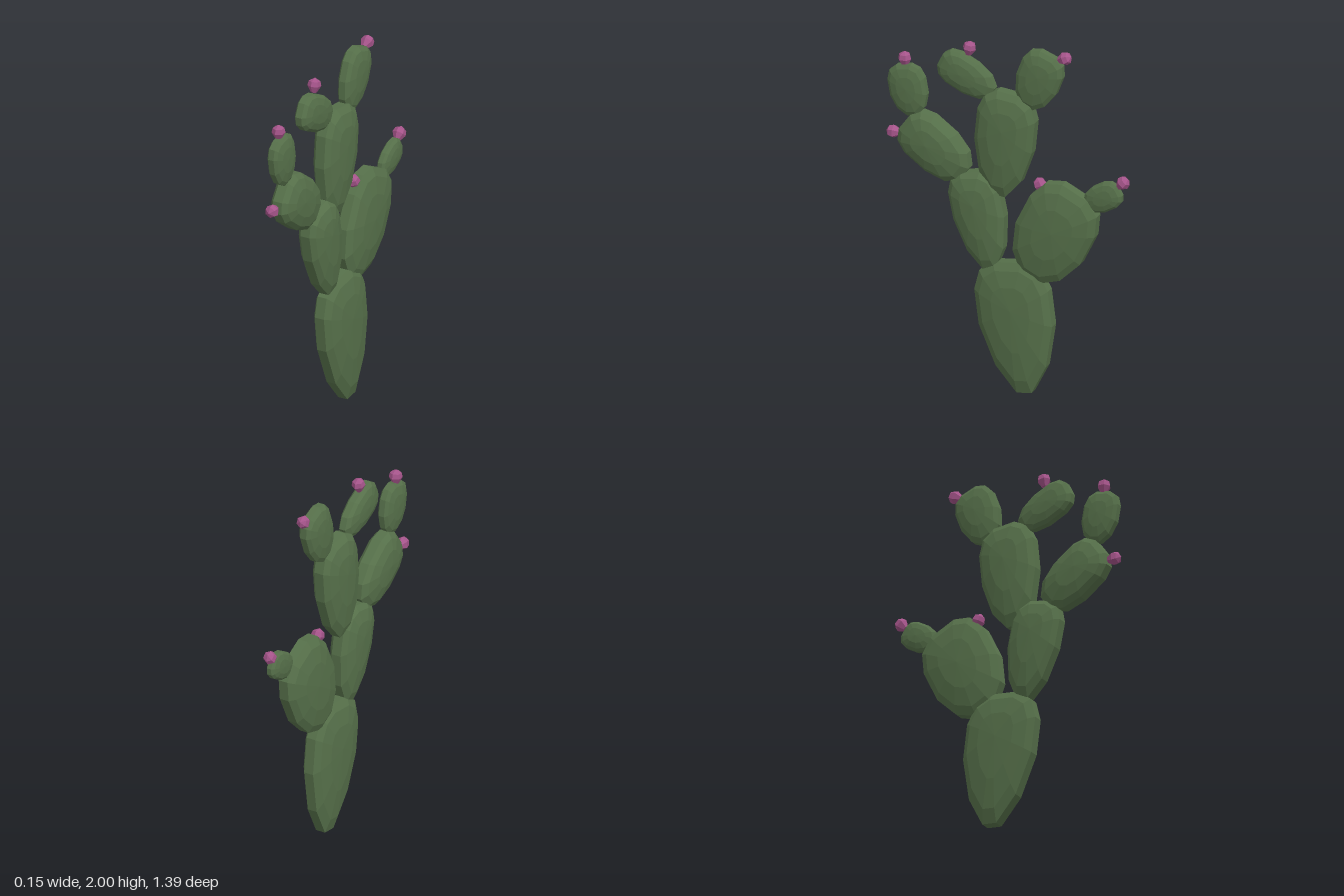
import * as THREE from 'three';

// Each pad: foot z, y; tip z, y; half width; widest point along its length; foot fullness; half thickness.
const PADS = {
  basePad: [-0.1, 0.006, -0.005, 0.742, 0.212, 0.65, 1.65, 0.077],
  middlePad: [0.1, 0.685, 0.212, 1.225, 0.148, 0.68, 1.8, 0.077],
  frontPad: [0.245, 1.205, 0.585, 1.45, 0.142, 0.6, 2.4, 0.075],
  frontTopPad: [0.545, 1.49, 0.597, 1.772, 0.106, 0.55, 2, 0.045],
  upperPad: [0.05, 1.12, -0.01, 1.717, 0.165, 0.65, 1.9, 0.077],
  upperFrontPad: [0.085, 1.7, 0.385, 1.843, 0.1, 0.6, 2.2, 0.05],
  upperBackPad: [-0.11, 1.652, -0.232, 1.975, 0.12, 0.6, 2, 0.052],
  backPad: [-0.13, 0.675, -0.39, 1.21, 0.205, 0.55, 2, 0.076],
  backSmallPad: [-0.445, 1.145, -0.638, 1.258, 0.076, 0.55, 2.2, 0.035],
};

// Each fruit: foot z, y; tip z, y.
const FRUITS = [
  [0.595, 1.765, 0.598, 1.846], [0.622, 1.37, 0.7, 1.37], [0.232, 1.89, 0.22, 1.97],
  [-0.285, 1.945, -0.365, 1.982], [-0.195, 1.175, -0.16, 1.25], [-0.625, 1.272, -0.69, 1.34],
];

const SIDES = 12;
const TOP_FULLNESS = 2.8;

// Egg outline: a superellipse with a full top half and a tapering foot half.
// Returns [across, along] pairs, with across in -1..1 and along in 0..1.
function eggOutline(belly, footFullness) {
  const limit = Math.cos(Math.PI / SIDES);
  return Array.from({ length: SIDES }, (_, i) => {
    const angle = (i + 0.5) * 2 * Math.PI / SIDES;
    const c = Math.cos(angle), s = Math.sin(angle);
    const power = 2 / (s > 0 ? TOP_FULLNESS : footFullness);
    const across = Math.sign(c) * (Math.abs(c) / limit) ** power;
    const rise = (Math.abs(s) / limit) ** power;
    return [across, s > 0 ? belly + (1 - belly) * rise : belly * (1 - rise)];
  });
}

// Lens-shaped pad: the outline shrinks toward its middle as the surface bulges out to both sides.
function padGeometry([z0, y0, z1, y1, width, belly, footFullness, half]) {
  const dz = z1 - z0, dy = y1 - y0, length = Math.hypot(dz, dy);
  const outline = eggOutline(belly, footFullness);
  const side = [[0.5, 0.92], [0.84, 0.68], [1, 0.36]];
  const rings = [...side, ...side.slice().reverse().map(([s, x]) => [s, -x])];
  const pos = [];
  const addPoint = (x, across, along) => {
    const v = across * width / length;
    pos.push(x * half, y0 + dy * along - dz * v, z0 + dz * along + dy * v);
  };
  for (const [s, x] of rings)
    for (const [across, along] of outline) addPoint(x, across * s, belly + (along - belly) * s);
  addPoint(1, 0, belly);
  addPoint(-1, 0, belly);

  const a = rings.length * SIDES, b = a + 1, last = a - SIDES;
  const index = [];
  for (let j = 0; j < SIDES; j++) {
    const k = (j + 1) % SIDES;
    index.push(a, k, j, b, last + j, last + k);
    for (let p = 0; p < last; p += SIDES) {
      const q = p + SIDES;
      index.push(p + j, p + k, q + k, p + j, q + k, q + j);
    }
  }
  const geometry = new THREE.BufferGeometry();
  geometry.setAttribute('position', new THREE.Float32BufferAttribute(pos, 3));
  geometry.setIndex(index);
  geometry.computeVertexNormals();
  return geometry;
}

export function createModel() {
  const green = new THREE.MeshStandardMaterial({ name: 'cactusGreen', color: 0x56704a, flatShading: true });
  const pink = new THREE.MeshStandardMaterial({ name: 'fruitPink', color: 0xa5548a, flatShading: true });
  const model = new THREE.Group();
  model.name = 'cactus';

  for (const [name, shape] of Object.entries(PADS)) {
    const pad = new THREE.Mesh(padGeometry(shape), green);
    pad.name = name;
    model.add(pad);
  }

  // Faceted fruits with a narrow foot and a wide head
  const profile = [[0, 0], [0.017, 0], [0.037, 0.036], [0.031, 0.062], [0, 0.08]].map(p => new THREE.Vector2(...p));
  const fruitGeometry = new THREE.LatheGeometry(profile, 6);
  FRUITS.forEach(([z0, y0, z1, y1], i) => {
    const fruit = new THREE.Mesh(fruitGeometry, pink);
    fruit.name = 'fruit' + (i + 1);
    fruit.position.set(-0.006, y0, z0);
    fruit.rotation.x = Math.atan2(z1 - z0, y1 - y0);
    model.add(fruit);
  });
  return model;
}
